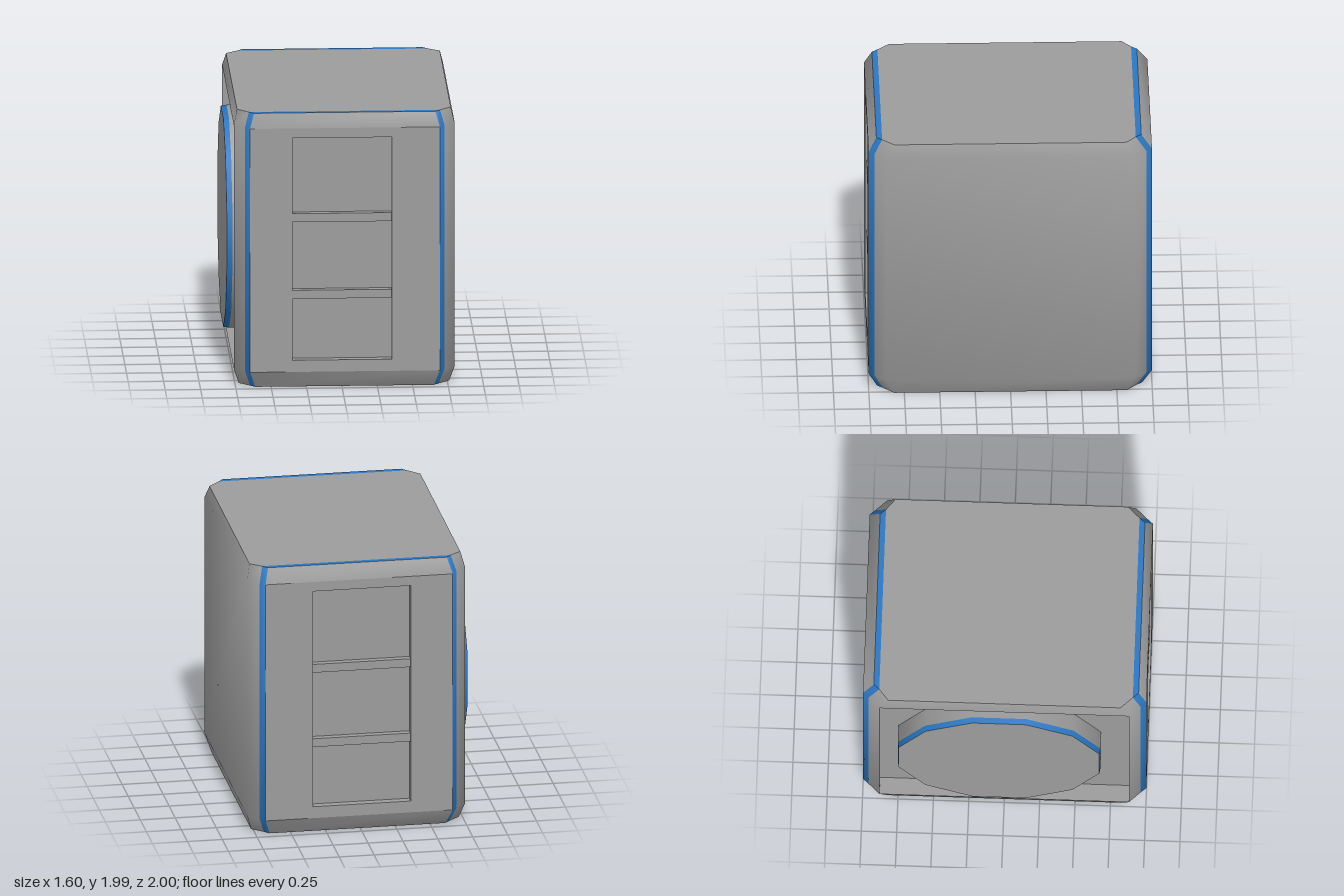
import * as THREE from 'three';
import { toCreasedNormals } from 'three/addons/utils/BufferGeometryUtils.js';

const CX = 0.02;          // the shell sits slightly off centre
const Y0 = 0.12, Y1 = 1.89;

export function createModel() {
  const group = new THREE.Group();
  const grey = new THREE.MeshStandardMaterial({ color: 0x9c9c9c });
  const blue = new THREE.MeshStandardMaterial({ color: 0x2b77c2 });

  function add(name, geometry, material, parent = group) {
    const mesh = new THREE.Mesh(geometry, material);
    mesh.name = name;
    parent.add(mesh);
    return mesh;
  }

  // Convex polygons fanned into flat-shaded triangles
  function polygons(list) {
    const pos = [];
    for (const p of list) {
      for (let i = 1; i < p.length - 1; i++) pos.push(...p[0], ...p[i], ...p[i + 1]);
    }
    const g = new THREE.BufferGeometry();
    g.setAttribute('position', new THREE.Float32BufferAttribute(pos, 3));
    g.computeVertexNormals();
    return g;
  }

  // One level of the shell: three points per corner (end, trim, side), anticlockwise from above
  function ring(y, endX, zFront, zBack, sideX, sideZ) {
    const corner = (sx, z) => {
      const sz = Math.sign(z);
      return [
        [CX + sx * endX, y, z],
        [CX + sx * (endX + 0.035), y, z - sz * 0.04],
        [CX + sx * sideX, y, sz * sideZ],
      ];
    };
    return [
      ...corner(1, zFront), ...corner(1, zBack).reverse(),
      ...corner(-1, zBack), ...corner(-1, zFront).reverse(),
    ];
  }
  const rings = [
    ring(0, 0.63, 0.94, -0.93, 0.743, 0.82),
    ring(Y0, 0.67, 1, -1, 0.78, 0.88),
    ring(Y1, 0.67, 1, -1, 0.78, 0.88),
    ring(1.99, 0.64, 0.945, -0.925, 0.755, 0.82),
  ];

  // Smooth shell walls; back (5), left bay (8) and front (11) stay open at mid height
  const walls = [], wallTrim = [];
  for (let l = 0; l < 3; l++) {
    for (let i = 0; i < 12; i++) {
      if (l === 1 && [5, 8, 11].includes(i)) continue;
      const j = (i + 1) % 12;
      const target = [0, 4, 6, 10].includes(i) ? wallTrim : walls;
      target.push([rings[l][i], rings[l][j], rings[l + 1][j], rings[l + 1][i]]);
    }
  }
  // Grey walls and coloured corner trim share one smooth surface
  const shell = toCreasedNormals(polygons([...walls, ...wallTrim]), Math.PI / 3);
  shell.addGroup(0, walls.length * 6, 0);
  shell.addGroup(walls.length * 6, wallTrim.length * 6, 1);
  add('shellWalls', shell, [grey, blue]);

  // Flat top and bottom caps with a trim strip at each end
  const caps = [], capTrim = [];
  for (const [r, up] of [[rings[3], true], [rings[0], false]]) {
    const pick = (...ids) => {
      const p = ids.map((i) => r[i]);
      return up ? p : p.reverse();
    };
    caps.push(pick(1, 2, 3, 4, 7, 8, 9, 10));
    capTrim.push(pick(11, 0, 1, 10), pick(5, 6, 7, 4));
  }
  add('caps', polygons(caps), grey);
  add('capTrim', polygons(capTrim), blue);

  // Walls and floor of the open bay on one side
  const xo = CX - 0.78, xi = -0.635, z = 0.88;
  add('bay', polygons([
    [[xi, Y0, -z], [xi, Y0, z], [xi, Y1, z], [xi, Y1, -z]],
    [[xo, Y0, z], [xi, Y0, z], [xi, Y0, -z], [xo, Y0, -z]],
    [[xo, Y1, -z], [xi, Y1, -z], [xi, Y1, z], [xo, Y1, z]],
    [[xo, Y0, -z], [xi, Y0, -z], [xi, Y1, -z], [xo, Y1, -z]],
    [[xi, Y0, z], [xo, Y0, z], [xo, Y1, z], [xi, Y1, z]],
  ]), grey);

  // Rectangle as points, for outlines and holes
  const rect = (x0, x1, y0, y1) => [[x0, y0], [x1, y0], [x1, y1], [x0, y1]]
    .map(([x, y]) => new THREE.Vector2(x, y));

  // End panel with a recess crossed by two bars
  function endPanel(name, side) {
    const panel = new THREE.Group();
    panel.name = name;
    const c = CX * side, depth = 0.06, barDepth = 0.05;
    const shape = new THREE.Shape(rect(c - 0.67, c + 0.67, Y0, Y1));
    shape.holes.push(new THREE.Path(rect(-0.35, 0.35, 0.205, 1.82)));
    const frame = new THREE.ExtrudeGeometry(shape, { depth, bevelEnabled: false });
    add('panelFrame', frame, grey, panel).position.z = 1 - depth;
    const floor = add('recessFloor', new THREE.BoxGeometry(0.74, 1.66, 0.02), grey, panel);
    floor.position.set(0, 1.0125, 1 - depth - 0.01);
    for (const y of [0.68, 1.2375]) {
      const bar = add('recessBar', new THREE.BoxGeometry(0.7, 0.062, barDepth), grey, panel);
      bar.position.set(0, y, 1 - depth + barDepth / 2);
    }
    if (side < 0) panel.rotation.y = Math.PI;
    group.add(panel);
  }
  endPanel('frontPanel', 1);
  endPanel('backPanel', -1);

  // Twelve-sided oval drum standing in the bay, with a coloured rim and flats on its axes
  const drum = new THREE.Group();
  drum.name = 'drum';
  const turn = Math.PI / 12;
  const wall = new THREE.CylinderGeometry(1, 1, 0.125, 12, 1, true, turn);
  add('drumWall', wall, grey, drum).position.y = 0.0625;
  const rim = new THREE.CylinderGeometry(0.99, 1, 0.04, 12, 1, true, turn);
  add('drumRim', rim, blue, drum).position.y = 0.145;
  const face = add('drumFace', new THREE.CircleGeometry(0.99, 12, turn), grey, drum);
  face.rotation.x = -Math.PI / 2;
  face.position.y = 0.165;
  drum.scale.set(0.79, 1, 0.74);
  drum.rotation.z = Math.PI / 2;
  drum.position.set(xi, 1, -0.035);
  group.add(drum);

  return group;
}
